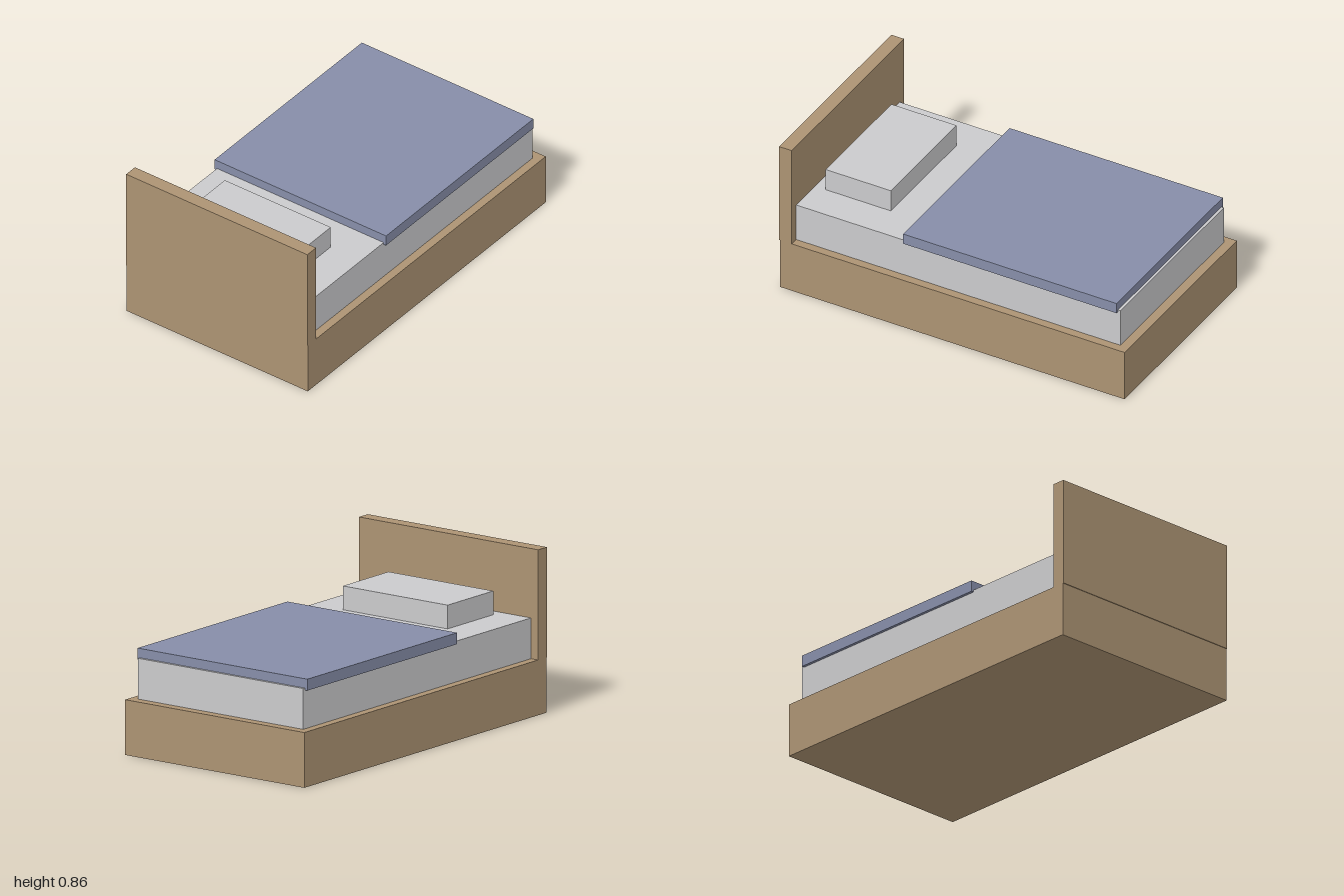
import * as THREE from 'three';

const material = (name, color) => {
  const m = new THREE.MeshStandardMaterial({ color });
  m.name = name;
  return m;
};

export function createModel() {
  const group = new THREE.Group();
  group.name = 'bed';
  const wood = material('wood', 0xac9373);
  const linen = material('linen', 0xcacacc);
  const blue = material('blanketBlue', 0x868da8);

  // Box centred on x, given by its half width and its y and z ranges
  const slab = (name, mat, halfWidth, [y0, y1], [z0, z1]) => {
    const mesh = new THREE.Mesh(new THREE.BoxGeometry(halfWidth * 2, y1 - y0, z1 - z0), mat);
    mesh.name = name;
    mesh.position.set(0, (y0 + y1) / 2, (z0 + z1) / 2);
    group.add(mesh);
  };

  slab('bedBase', wood, 0.568, [0, 0.286], [-1, 0.996]);
  slab('headboard', wood, 0.568, [0.286, 0.856], [0.927, 1]);
  slab('mattress', linen, 0.523, [0.286, 0.497], [-0.95, 0.927]);
  slab('pillow', linen, 0.332, [0.497, 0.62], [0.488, 0.865]);
  // The blanket overhangs the mattress sides slightly
  slab('blanket', blue, 0.538, [0.486, 0.545], [-0.936, 0.299]);

  return group;
}
